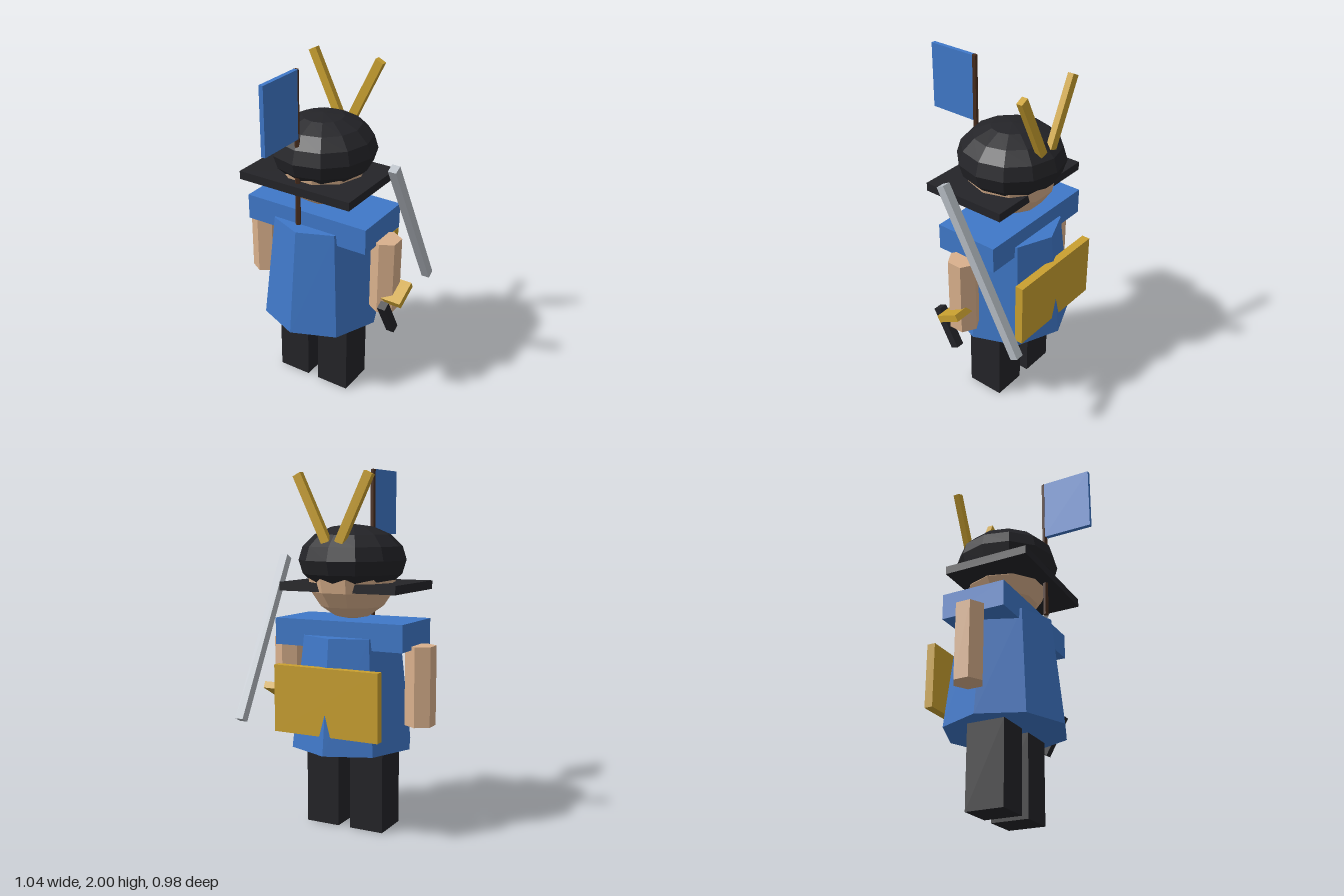
import * as THREE from 'three';

const CX = -0.033, CZ = -0.05; // body axis
const mat = (color) => new THREE.MeshStandardMaterial({ color, flatShading: true });

export function createModel() {
  const model = new THREE.Group();
  const blue = mat(0x3f78c8), skin = mat(0xd9b08c), black = mat(0x242428);
  const gold = mat(0xc9a030), steel = mat(0xb5bbc2), wood = mat(0x4a2e1e);

  const add = (name, geometry, material, x, y, z) => {
    const mesh = new THREE.Mesh(geometry, material);
    mesh.name = name;
    mesh.position.set(x, y, z);
    model.add(mesh);
    return mesh;
  };
  const box = (w, h, d) => new THREE.BoxGeometry(w, h, d);

  // Paired limbs and helmet horns
  for (const [side, s] of [['left', 1], ['right', -1]]) {
    add(side + 'Leg', box(0.2, 0.467, 0.22), black, CX + s * 0.136, 0.2335, -0.045);
    add(side + 'Arm', new THREE.CylinderGeometry(0.085, 0.085, 0.437, 6), skin, CX + s * 0.412, 0.829, CZ);
    add(side + 'Horn', box(0.05, 0.4, 0.035), gold, CX + s * 0.125, 1.772, -0.275).rotation.z = -s * 0.45;
  }

  // Robe and shoulder yoke
  add('robe', new THREE.CylinderGeometry(0.28, 0.35, 0.623, 8), blue, CX, 0.778, CZ);
  add('shoulders', box(0.774, 0.148, 0.375), blue, CX, 1.101, CZ);

  // Head, flattened helmet and square brim
  add('head', new THREE.SphereGeometry(0.25, 10, 8), skin, CX, 1.42, CZ);
  add('helmet', new THREE.SphereGeometry(0.298, 12, 8), black, CX, 1.497, CZ).scale.y = 0.655;
  add('brim', box(0.7, 0.048, 0.5), black, CX, 1.352, 0);

  // Back panel
  add('backPanel', box(0.624, 0.37, 0.048), gold, CX, 0.751, -0.351);

  // Banner
  add('bannerPole', new THREE.CylinderGeometry(0.015, 0.015, 0.872, 5), wood, CX, 1.564, 0.2);
  add('bannerCloth', box(0.025, 0.37, 0.29), blue, CX, 1.815, 0.345);

  // Sword, all pieces tilted alike
  const tilt = 0.5;
  add('swordBlade', box(0.048, 1, 0.05), steel, 0.44, 1.067, -0.225).rotation.x = tilt;
  add('swordGuard', box(0.15, 0.04, 0.15), gold, 0.442, 0.725, -0.049).rotation.x = tilt;
  add('swordGrip', box(0.048, 0.25, 0.05), black, 0.44, 0.59, 0.016).rotation.x = tilt;

  return model;
}
